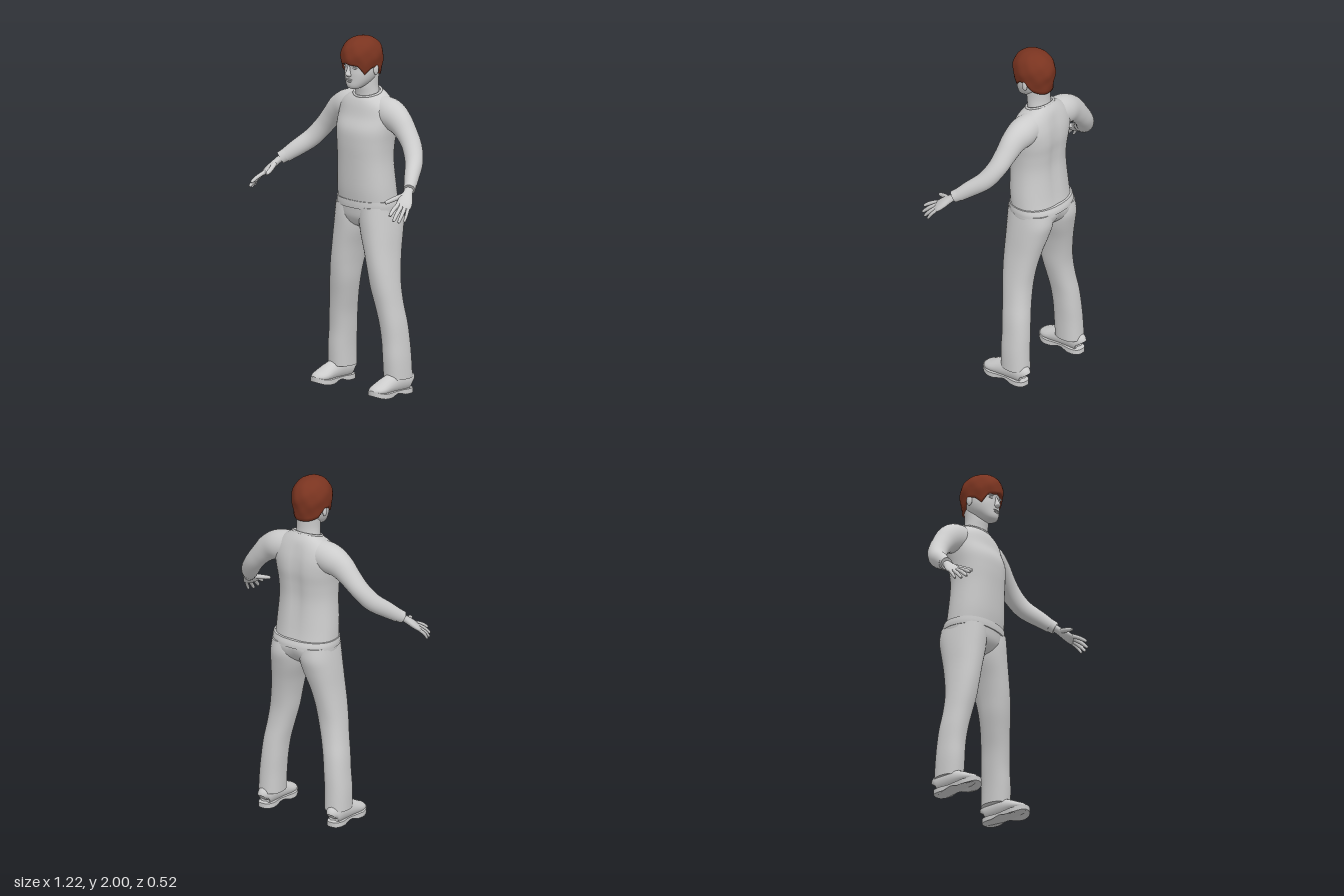
import * as THREE from 'three';
import { mergeVertices } from 'three/addons/utils/BufferGeometryUtils.js';

const V = (x, y, z) => new THREE.Vector3(x, y, z);

// Smoothly resample rows of numbers (uniform Catmull-Rom on every column)
function smooth(rows, steps) {
  const out = [], last = rows.length - 1;
  const at = i => rows[Math.max(0, Math.min(last, i))];
  for (let i = 0; i < last; i++) for (let s = 0; s < steps; s++) {
    const t = s / steps, [a, b, c, d] = [at(i - 1), at(i), at(i + 1), at(i + 2)];
    out.push(b.map((p, k) => {
      const k1 = c[k] - a[k];
      const k2 = 2 * a[k] - 5 * p + 4 * c[k] - d[k];
      const k3 = 3 * (p - c[k]) + d[k] - a[k];
      return p + 0.5 * t * (k1 + t * (k2 + t * k3));
    }));
  }
  out.push(rows[last]);
  return out;
}

// Skin closed rings (counter-clockwise about the direction of travel), with capped ends
function loft(rings) {
  const n = rings[0].length, pos = [], idx = [];
  const add = p => pos.push(p.x, p.y, p.z) / 3 - 1;
  rings.forEach(r => r.forEach(add));
  for (let j = 0; j < rings.length - 1; j++) for (let i = 0; i < n; i++) {
    const a = j * n + i, b = j * n + (i + 1) % n;
    idx.push(a, b, b + n, a, b + n, a + n);
  }
  for (const [ring, flip] of [[rings[0], true], [rings[rings.length - 1], false]]) {
    const mid = V(0, 0, 0);
    ring.forEach(p => mid.addScaledVector(p, 1 / n));
    const c = add(mid), f = ring.map(add);
    for (let i = 0; i < n; i++) {
      const a = f[i], b = f[(i + 1) % n];
      idx.push(c, flip ? b : a, flip ? a : b);
    }
  }
  const g = new THREE.BufferGeometry();
  g.setAttribute('position', new THREE.Float32BufferAttribute(pos, 3));
  g.setIndex(idx);
  g.computeVertexNormals();
  return g;
}

// Upright body from rows [y, centreX, halfWidth, zFront, zBack, tilt, backGroove], bottom to top
function body(rows, steps = 5, n = 40, power = 0.88) {
  return loft(smooth(rows, steps).map(([y, cx, rx, zf, zb, tilt = 0, groove = 0]) => {
    const cz = (zf + zb) / 2, rz = (zf - zb) / 2;
    return Array.from({ length: n }, (_, i) => {
      const a = i / n * Math.PI * 2, s = Math.sin(a), c = Math.cos(a);
      const x = rx * Math.sign(s) * Math.abs(s) ** power;
      let z = rz * Math.sign(c) * Math.abs(c) ** power;
      if (c < 0) z += groove * Math.exp(-((x / 0.035) ** 2));
      return V(cx + x, y - tilt * z, cz + z);
    });
  }));
}

// Tapered limb from rows [x, y, z, radiusSide, radiusUp]; side is the width direction
function limb(rows, side, steps = 5, n = 20) {
  const r = smooth(rows, steps), p = r.map(q => V(q[0], q[1], q[2]));
  return loft(r.map((q, j) => {
    const t = p[Math.min(j + 1, p.length - 1)].clone().sub(p[Math.max(j - 1, 0)]).normalize();
    const u = side.clone().addScaledVector(t, -side.dot(t)).normalize();
    const w = t.clone().cross(u);
    return Array.from({ length: n }, (_, i) => {
      const a = i / n * Math.PI * 2;
      return p[j].clone().addScaledVector(u, q[3] * Math.cos(a)).addScaledVector(w, q[4] * Math.sin(a));
    });
  }));
}

function ball(x, y, z, rx, ry, rz) {
  return new THREE.SphereGeometry(1, 20, 14).scale(rx, ry, rz).translate(x, y, z);
}

function mirrored(geo) {
  const g = geo.clone().scale(-1, 1, 1), ix = g.index.array;
  for (let i = 0; i < ix.length; i += 3) [ix[i], ix[i + 1]] = [ix[i + 1], ix[i]];
  return g;
}

// Hair shell with a hemline that rises over the face and ears
function hairGeometry() {
  const hem = [1.862, 1.855, 1.85, 1.80, 1.835, 1.84, 1.795, 1.78, 1.775, 1.772];
  const n = 60, rows = 18, rings = [];
  for (let j = -1; j <= rows; j++) rings.push(Array.from({ length: n }, (_, i) => {
    const a = i / n * Math.PI * 2, f = (a > Math.PI ? 2 * Math.PI - a : a) / Math.PI * 9;
    const k = Math.min(8, Math.floor(f)), h = hem[k] + (hem[k + 1] - hem[k]) * (f - k);
    const y = h + (2 - h) * Math.sin(Math.max(0, j) / rows * Math.PI / 2);
    let r = y > 1.88 ? Math.max(0.0001, 1 - ((y - 1.88) / 0.1201) ** 2.2) ** 0.45 : 1 - 1.2 * (1.88 - y);
    r *= 1 + 0.012 * Math.sin(9 * a + y * 50) + 0.01 * Math.sin(5 * a - y * 70);
    if (j < 0) r *= 0.82;
    return V(0.107 * r * Math.sin(a), y, -0.055 + 0.129 * r * Math.cos(a));
  }));
  return loft(rings);
}

// Shoe sole with a raised toe and arch
function soleGeometry() {
  const pts = [[0, 0.095], [0.04, 0.08], [0.062, 0.03], [0.054, -0.03], [0.044, -0.09], [0.046, -0.16], [0.03, -0.195]];
  const all = [...pts, [0, -0.203], ...pts.slice(1).reverse().map(([x, z]) => [-x, z])];
  const curve = new THREE.CatmullRomCurve3(all.map(([x, z]) => V(x, z, 0)), true);
  const shape = new THREE.Shape(curve.getPoints(56).slice(0, -1).map(p => new THREE.Vector2(p.x, p.y)));
  const g = new THREE.ExtrudeGeometry(shape, { depth: 0.028, bevelEnabled: false });
  g.rotateX(Math.PI / 2).translate(0.231, 0.028, 0);
  const p = g.attributes.position;
  for (let i = 0; i < p.count; i++) {
    const z = p.getZ(i), low = p.getY(i) < 0.01;
    let y = p.getY(i) + (z > 0.02 ? 0.018 * ((z - 0.02) / 0.075) ** 2 : 0);
    if (low && z > -0.12 && z < -0.02) y += 0.014 * Math.sin((z + 0.12) / 0.1 * Math.PI);
    p.setY(i, y);
  }
  g.computeVertexNormals();
  return mergeVertices(g);
}

export function createModel() {
  const grey = new THREE.MeshStandardMaterial({ color: 0xcccccc });
  grey.name = 'light grey';
  const brown = new THREE.MeshStandardMaterial({ color: 0x7a3420 });
  brown.name = 'red brown';
  const model = new THREE.Group();
  model.name = 'standingMan';
  const add = (name, geo, mat = grey) => {
    const m = new THREE.Mesh(geo, mat);
    m.name = name;
    model.add(m);
  };
  const pair = (name, geo) => {
    add('left' + name, geo);
    add('right' + name, mirrored(geo));
  };

  // Sweater
  add('sweater', body([
    [1.06, 0, 0.185, 0.03, -0.238, 0, 0.004], [1.15, 0, 0.182, 0.04, -0.225, 0, 0.008],
    [1.30, 0, 0.172, 0.045, -0.212, 0, 0.014], [1.40, 0, 0.177, 0.048, -0.217, 0, 0.016],
    [1.48, 0, 0.188, 0.042, -0.226, 0, 0.016], [1.55, 0, 0.193, 0.012, -0.223, 0, 0.014],
    [1.61, 0, 0.18, -0.006, -0.21, 0, 0.008], [1.65, 0, 0.14, -0.018, -0.192, 0.12, 0],
    [1.678, 0, 0.09, -0.028, -0.17, 0.3, 0]]));
  add('sweaterHem', body([[1.04, 0, 0.194, 0.038, -0.258], [1.06, 0, 0.195, 0.039, -0.256],
    [1.083, 0, 0.192, 0.038, -0.247]], 3));
  add('collar', new THREE.TorusGeometry(1, 0.09, 10, 40).rotateX(Math.PI / 2)
    .scale(0.085, 0.08, 0.07).rotateX(0.29).translate(0, 1.679, -0.098));

  // Sleeves and cuffs
  const up = V(0.35, 1, 0);
  pair('Sleeve', limb([
    [0.08, 1.585, -0.118, 0.085, 0.075], [0.17, 1.572, -0.118, 0.087, 0.08], [0.24, 1.54, -0.115, 0.075, 0.068],
    [0.30, 1.485, -0.112, 0.06, 0.06], [0.355, 1.422, -0.1, 0.053, 0.056], [0.41, 1.35, -0.062, 0.052, 0.05],
    [0.465, 1.29, 0.008, 0.046, 0.042], [0.502, 1.25, 0.055, 0.038, 0.035]], up, 5, 28));
  pair('Cuff', limb([[0.494, 1.26, 0.045, 0.038, 0.036], [0.518, 1.237, 0.077, 0.035, 0.033]], up, 2));

  // Hands
  const across = V(0.06, -0.015, -0.045);
  pair('Palm', limb([
    [0.508, 1.247, 0.065, 0.025, 0.02], [0.526, 1.22, 0.095, 0.027, 0.019], [0.543, 1.19, 0.128, 0.04, 0.019],
    [0.556, 1.165, 0.155, 0.044, 0.016], [0.564, 1.152, 0.17, 0.036, 0.009]], across));
  const fingers = {
    Thumb: [[0.524, 1.215, 0.11], [0.495, 1.195, 0.165], [0.477, 1.178, 0.214], 0.014],
    IndexFinger: [[0.535, 1.172, 0.175], [0.545, 1.15, 0.222], [0.555, 1.125, 0.258], 0.0115],
    MiddleFinger: [[0.553, 1.165, 0.168], [0.567, 1.133, 0.214], [0.576, 1.098, 0.25], 0.0115],
    RingFinger: [[0.568, 1.158, 0.157], [0.584, 1.122, 0.196], [0.59, 1.088, 0.225], 0.011],
    LittleFinger: [[0.58, 1.154, 0.143], [0.597, 1.122, 0.172], [0.602, 1.09, 0.192], 0.0095],
  };
  for (const [name, [a, b, c, r]] of Object.entries(fingers)) {
    const tip = c.map((v, k) => v + (c[k] - b[k]) * 0.1);
    pair(name, limb([[...a, r, r], [...b, r * 0.95, r * 0.95], [...c, r * 0.7, r * 0.7],
      [...tip, r * 0.15, r * 0.15]], across, 4, 12));
  }

  // Trousers
  add('trouserSeat', body([
    [0.915, 0, 0.06, -0.05, -0.15, 0, 0], [0.94, 0, 0.12, -0.005, -0.205, 0, 0.02],
    [0.98, 0, 0.175, 0.022, -0.242, 0, 0.02], [1.03, 0, 0.19, 0.03, -0.256, 0, 0.012],
    [1.07, 0, 0.186, 0.032, -0.245, 0, 0.004]]));
  const legs = [
    [0.09, 0.153, 0.292, -0.035, -0.202], [0.2, 0.15, 0.289, -0.03, -0.197], [0.3, 0.142, 0.28, -0.03, -0.193],
    [0.4, 0.13, 0.27, -0.022, -0.185], [0.5, 0.108, 0.254, -0.01, -0.173], [0.6, 0.085, 0.24, 0.006, -0.17],
    [0.7, 0.068, 0.226, 0.017, -0.183], [0.8, 0.045, 0.213, 0.022, -0.205], [0.9, 0.012, 0.204, 0.025, -0.233],
    [0.98, -0.002, 0.195, 0.027, -0.252], [1.05, 0, 0.185, 0.025, -0.245]];
  pair('TrouserLeg', body(legs.map(([y, i, o, f, b]) => [y, (i + o) / 2, (o - i) / 2, f, b]), 4, 32));

  // Shoes
  pair('Shoe', limb([
    [0.231, 0.06, -0.197, 0.025, 0.03], [0.231, 0.07, -0.18, 0.042, 0.055], [0.231, 0.072, -0.1, 0.047, 0.062],
    [0.231, 0.06, -0.03, 0.053, 0.05], [0.231, 0.046, 0.03, 0.058, 0.035], [0.231, 0.04, 0.07, 0.045, 0.023],
    [0.231, 0.038, 0.09, 0.018, 0.009]], V(1, 0, 0)));
  pair('Sole', soleGeometry());

  // Neck and head
  add('neck', body([[1.62, 0, 0.078, -0.035, -0.165], [1.68, 0, 0.07, -0.03, -0.158],
    [1.73, 0, 0.066, -0.022, -0.155], [1.80, 0, 0.068, -0.03, -0.16]], 4, 32, 1));
  add('head', body([
    [1.712, 0, 0.022, 0.028, -0.015], [1.718, 0, 0.038, 0.038, -0.035], [1.735, 0, 0.056, 0.045, -0.075],
    [1.765, 0, 0.076, 0.046, -0.12], [1.80, 0, 0.088, 0.047, -0.15], [1.835, 0, 0.092, 0.046, -0.168],
    [1.88, 0, 0.094, 0.052, -0.168], [1.93, 0, 0.08, 0.035, -0.15], [1.96, 0, 0.05, 0, -0.11]], 5, 40, 0.95));
  add('nose', body([
    [1.784, 0, 0.01, 0.053, 0.03], [1.79, 0, 0.018, 0.062, 0.03], [1.798, 0, 0.018, 0.069, 0.03],
    [1.81, 0, 0.013, 0.065, 0.03], [1.835, 0, 0.009, 0.054, 0.03], [1.852, 0, 0.009, 0.047, 0.03]], 3, 18, 1));
  add('upperLip', ball(0, 1.767, 0.044, 0.024, 0.005, 0.009));
  add('lowerLip', ball(0, 1.757, 0.043, 0.02, 0.006, 0.009));
  pair('Eye', ball(0.035, 1.836, 0.034, 0.016, 0.007, 0.009));
  pair('Brow', ball(0.036, 1.851, 0.036, 0.023, 0.005, 0.01));
  pair('Ear', ball(0.096, 1.822, -0.07, 0.01, 0.03, 0.018));

  // Hair
  add('hair', hairGeometry(), brown);
  return model;
}
